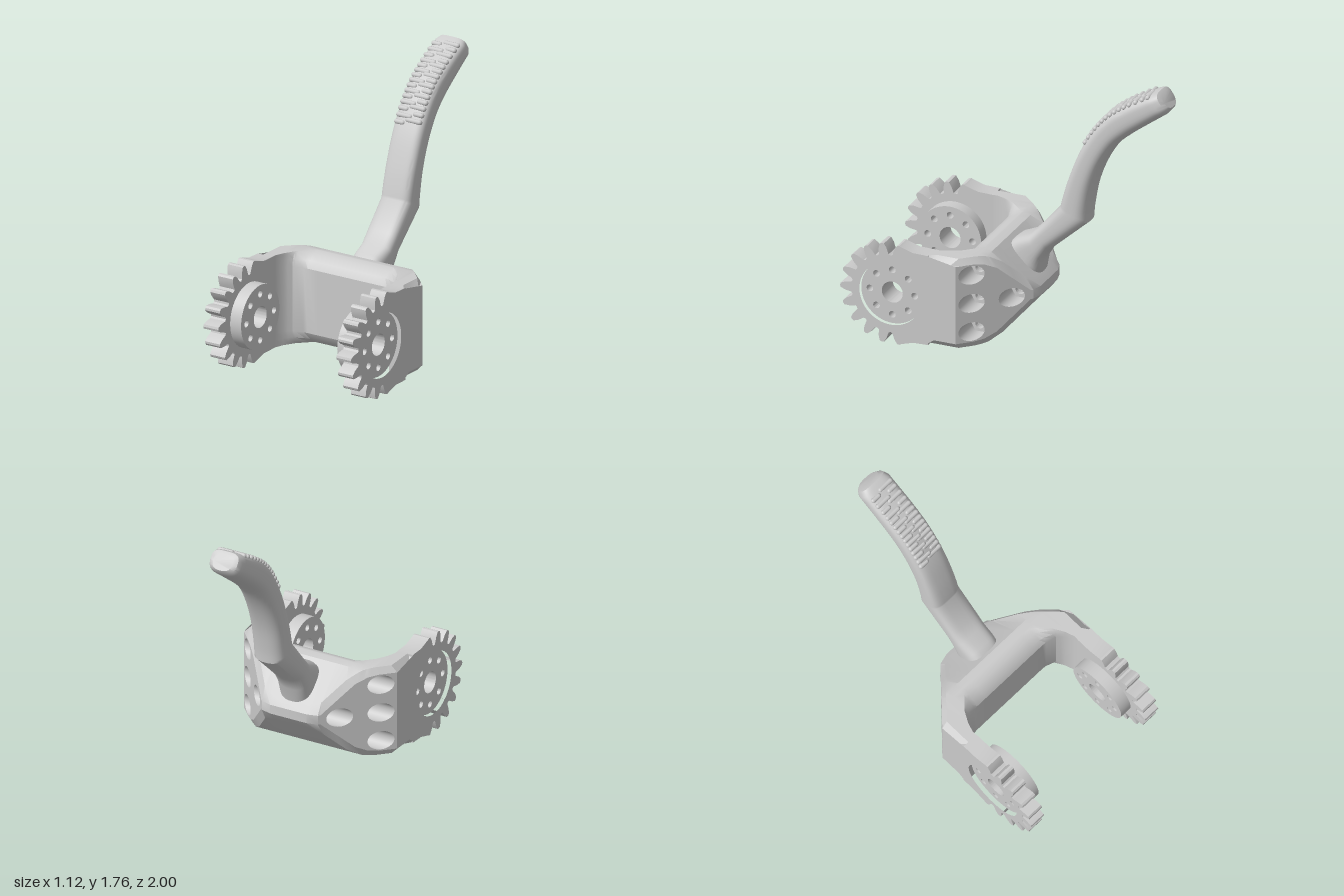
import * as THREE from 'three';
import { toCreasedNormals } from 'three/addons/utils/BufferGeometryUtils.js';

const grey = new THREE.MeshStandardMaterial({ color: 0xcccccc });
const greyBoth = new THREE.MeshStandardMaterial({ color: 0xcccccc, side: THREE.DoubleSide });
const MID = 0.338;              // height of the axle and of the yoke's centre line
const HALF = 0.548;             // half width of the yoke
const GEAR_Z = 0.652;           // axle position
const PITCH = Math.PI / 9;      // angle between gear teeth

function add(parent, name, geometry, material = grey) {
  const mesh = new THREE.Mesh(geometry, material);
  mesh.name = name;
  parent.add(mesh);
}

// Skins a row of closed cross-sections and closes both ends with a fan
function loft(sections, crease, skip = () => false) {
  const n = sections[0].length, index = [];
  for (let s = 0; s < sections.length - 1; s++) {
    for (let j = 0; j < n; j++) {
      if (skip(s, j)) continue;
      const a = s * n + j, b = s * n + (j + 1) % n;
      index.push(a, b, b + n, a, b + n, a + n);
    }
  }
  const last = (sections.length - 1) * n;
  for (let j = 1; j < n - 1; j++) {
    index.push(0, j + 1, j, last, last + j, last + j + 1);
  }
  const g = new THREE.BufferGeometry();
  g.setAttribute('position', new THREE.Float32BufferAttribute(sections.flat(2), 3));
  g.setIndex(index);
  return toCreasedNormals(g, crease);
}

// Piecewise linear lookup in a list of [input, output]
function lookup(table, t) {
  for (let k = 1; k < table.length; k++) {
    const [t0, v0] = table[k - 1], [t1, v1] = table[k];
    if (t <= t1) return v0 + (v1 - v0) * (t - t0) / (t1 - t0);
  }
  return table[table.length - 1][1];
}

// Yoke: slanted side panel in plan, and half height along z
const panelX = z => HALF - (0.215 - z) * 0.95;
const HEIGHT = [[-0.17, 0.0355], [0.02, 0.254], [0.08, 0.29], [0.13, 0.3]];
const OUTER = [[0, -0.17], [0.13, -0.17], [0.2, -0.1513], [HALF, 0.215]];
const INNER = [[0, 0.25], [0.3, 0.25], [0.38, 0.27], [0.42, 0.31], [0.44, 0.37]];
const FILLET = [[0, 1], [0.28, 1], [0.42, 0]];

function yokeSection(x, arm) {
  const a = Math.abs(x), o = lookup(OUTER, a), i = arm ? 0.42 : lookup(INNER, a);
  const f = lookup(FILLET, a), cap = 0.3 - Math.max(0, a - 0.508);
  const top = z => [z, Math.min(lookup(HEIGHT, z), cap)];
  const half = [
    [o, Math.max(0.03, lookup(HEIGHT, o) - 0.04)],
    top(o + 0.04),
    top(Math.max(0.08, o + 0.042)),
    top(arm ? 0.36 : Math.max(0.13, o + 0.045)),
    [i - 0.11 * f, 0.3], [i - 0.07 * f, 0.287], [i - 0.025 * f, 0.255], [i, 0.21],
  ];
  const upper = half.map(([z, y]) => [x, MID + y, z]);
  const lower = half.map(([z, y]) => [x, MID - y, z]).reverse();
  return [...upper, ...lower];
}

function buildYoke(group) {
  const right = [[0, 0], [0.13, 0], [0.2, 0], [0.211, 0], [0.28, 0], [0.31, 0], [0.363, 0], [0.38, 0],
    [0.4, 0], [0.42, 0], [0.44, 0], [0.44, 1], [0.467, 1], [0.508, 1], [HALF, 1]];
  const stations = [...right.slice(1).reverse().map(([x, arm]) => [-x, arm]), ...right];
  const sections = stations.map(([x, arm]) => yokeSection(x, arm));
  // the slanted faces are left open for the drilled panels
  const skip = (s, j) => j === sections[0].length - 1 &&
    Math.min(Math.abs(stations[s][0]), Math.abs(stations[s + 1][0])) > 0.199;
  add(group, 'yoke', loft(sections, 0.5, skip));
}

const BOLTS = [[0.14, 0.19], [0.14, 0], [0.14, -0.19], [-0.05, 0]];

function circle(u, v, r) {
  return new THREE.Path().absarc(u, v, r, 0, Math.PI * 2, true);
}

// Drilled side panel with round pockets and hex nuts
function buildPanel(group, side) {
  const panel = new THREE.Group();
  panel.name = 'boltPanel';
  group.add(panel);
  const upper = [[-0.1513, 0.03], [-0.14, 0.03], [0.02, 0.214], [0.08, 0.25], [0.13, 0.26], [0.215, 0.26]];
  const outline = [...upper.map(([z, y]) => [z, -y]).reverse(), ...upper];
  const shape = new THREE.Shape(outline.map(([z, y]) => new THREE.Vector2(-z, y)));
  for (const [z, y] of BOLTS) shape.holes.push(circle(-z, y, 0.062));
  const face = new THREE.ShapeGeometry(shape, 16).rotateY(Math.PI / 2).translate(0, MID, 0);
  const fp = face.attributes.position;
  for (let k = 0; k < fp.count; k++) fp.setX(k, side * panelX(fp.getZ(k)));
  face.computeVertexNormals();
  add(panel, 'panelFace', face, greyBoth);

  for (const [z, y] of BOLTS) {
    const floor = panelX(z) - 0.16;
    // pocket wall, its mouth cut to the slant of the panel
    const wall = new THREE.CylinderGeometry(0.062, 0.062, 1, 32, 1, true).rotateZ(-Math.PI / 2);
    wall.translate(0, MID + y, z);
    const p = wall.attributes.position;
    for (let k = 0; k < p.count; k++) p.setX(k, side * (p.getX(k) > 0 ? panelX(p.getZ(k)) : floor));
    add(panel, 'pocketWall', wall, greyBoth);
    const ring = new THREE.RingGeometry(0.025, 0.062, 32).rotateY(side * Math.PI / 2);
    add(panel, 'pocketFloor', ring.translate(side * floor, MID + y, z), greyBoth);
    // nut
    const hex = new THREE.Shape();
    for (let k = 0; k < 6; k++) {
      const t = k * Math.PI / 3;
      hex[k ? 'lineTo' : 'moveTo'](0.057 * Math.cos(t), 0.057 * Math.sin(t));
    }
    hex.closePath();
    hex.holes.push(circle(0, 0, 0.03));
    const nut = new THREE.ExtrudeGeometry(hex, { depth: 0.035, bevelEnabled: false, curveSegments: 12 });
    nut.rotateY(Math.PI / 2).translate(side > 0 ? floor : -floor - 0.035, MID + y, z);
    add(panel, 'nut', nut);
    // bore running to the middle of the yoke
    const bore = new THREE.CylinderGeometry(0.025, 0.025, floor, 20, 1, true).rotateZ(Math.PI / 2);
    add(panel, 'bore', bore.translate(side * floor / 2, MID + y, z), greyBoth);
  }
}

// Toothed arm end with a recessed, drilled hub
function buildGear(group, side) {
  const gear = new THREE.Group();
  gear.name = 'gearEnd';
  group.add(gear);
  const points = [[0.40, -0.3], [0.5, -0.302]];
  const tooth = [[-0.5, 0.258], [-0.36, 0.264], [-0.25, 0.305], [-0.12, 0.334],
    [0, 0.338], [0.12, 0.334], [0.25, 0.305], [0.36, 0.264]];
  for (let k = 0; k < 11; k++) {
    const profile = k === 0 ? tooth.slice(3) : k === 10 ? tooth.slice(0, 6) : tooth;
    for (const [t, r] of profile) {
      const angle = (k - 5 + t) * PITCH;
      points.push([GEAR_Z + r * Math.cos(angle), r * Math.sin(angle)]);
    }
  }
  points.push([0.5, 0.302], [0.40, 0.3]);
  const plate = new THREE.Shape(points.map(([z, y]) => new THREE.Vector2(-z, y)));
  plate.holes.push(circle(-GEAR_Z, 0, 0.208));
  const hub = new THREE.Shape().absarc(-GEAR_Z, 0, 0.208, 0, Math.PI * 2);
  hub.holes.push(circle(-GEAR_Z, 0, 0.07));
  for (let k = 0; k < 8; k++) {
    const t = k * Math.PI / 4;
    hub.holes.push(circle(-GEAR_Z + 0.15 * Math.cos(t), 0.15 * Math.sin(t), 0.022));
  }
  const slab = (name, shape, from, to) => {
    const g = new THREE.ExtrudeGeometry(shape, { depth: to - from, bevelEnabled: false, curveSegments: 32 });
    g.rotateY(Math.PI / 2).translate(side > 0 ? from : -to, MID, 0);
    add(gear, name, toCreasedNormals(g, 0.4));
  };
  slab('toothedPlate', plate, 0.438, HALF);
  slab('hub', hub, 0.357, 0.52);
}

// Lever: [upper z, upper y, lower z, lower y, half width]
const NECK = [
  [0.06, 0.60, -0.10, 0.34, 0.112], [0.02, 0.635, -0.14, 0.42, 0.112], [-0.07, 0.672, -0.15, 0.50, 0.112],
  [-0.13, 0.735, -0.20, 0.585, 0.112],
];
const TIP = [[-0.915, 1.77, -0.992, 1.655, 0.096], [-0.935, 1.757, -1.0, 1.675, 0.068]];
const spline = points => new THREE.SplineCurve(points.map(p => new THREE.Vector2(...p)));
const thumbSide = spline([[-0.27, 0.90], [-0.29, 0.98], [-0.33, 1.11], [-0.40, 1.29],
  [-0.49, 1.45], [-0.59, 1.57], [-0.72, 1.665], [-0.88, 1.757]]);
const fingerSide = spline([[-0.452, 0.81], [-0.46, 0.90], [-0.49, 1.06], [-0.55, 1.22],
  [-0.635, 1.36], [-0.73, 1.45], [-0.835, 1.53], [-0.97, 1.63]]);

function buildLever(group) {
  const rows = [...NECK];
  for (let k = 0; k <= 24; k++) {
    rows.push([...thumbSide.getPoint(k / 24).toArray(), ...fingerSide.getPoint(k / 24).toArray(), 0.112]);
  }
  rows.push(...TIP);
  const drift = z => 0.01 * z;
  const sections = rows.map(([uz, uy, lz, ly, w]) => {
    const loop = [];
    for (let k = 0; k < 40; k++) {
      const t = -k / 40 * Math.PI * 2, c = Math.cos(t), s = Math.sin(t);
      const e = s > 0 ? 0.55 : 0.8;   // flatter on the thumb side, rounder below
      const x = w * Math.sign(c) * Math.abs(c) ** e;
      const m = 0.5 + 0.5 * Math.sign(s) * Math.abs(s) ** e;
      const z = lz + (uz - lz) * m;
      loop.push([x + drift(z), ly + (uy - ly) * m, z]);
    }
    return loop;
  });
  add(group, 'lever', loft(sections, 0.65));

  // two staggered columns of grip ridges along the thumb side
  const ridges = new THREE.Group();
  ridges.name = 'gripRidges';
  group.add(ridges);
  const count = 15;
  for (let k = 0; k < count; k++) {
    for (const side of [-1, 1]) {
      const at = thumbSide.getPoint(0.48 + 0.51 * (k + (side > 0 ? 0.5 : 0)) / count);
      const split = k % 2 ? 0.02 : -0.02, end = side * 0.098;
      const ridge = new THREE.CapsuleGeometry(0.016, Math.abs(end - split) - 0.032, 4, 10).rotateZ(Math.PI / 2);
      // sunk slightly into the lever
      ridge.translate((end + split) / 2 + drift(at.x), at.y - 0.005, at.x - 0.004);
      add(ridges, 'gripRidge', ridge);
    }
  }
}

export function createModel() {
  const model = new THREE.Group();
  model.name = 'leverYoke';
  const body = new THREE.Group();
  body.name = 'body';
  // the whole piece sits slightly turned
  body.rotation.y = 0.026;
  body.position.x = -0.018;
  model.add(body);
  buildYoke(body);
  for (const side of [-1, 1]) {
    buildPanel(body, side);
    buildGear(body, side);
  }
  buildLever(body);
  return model;
}
